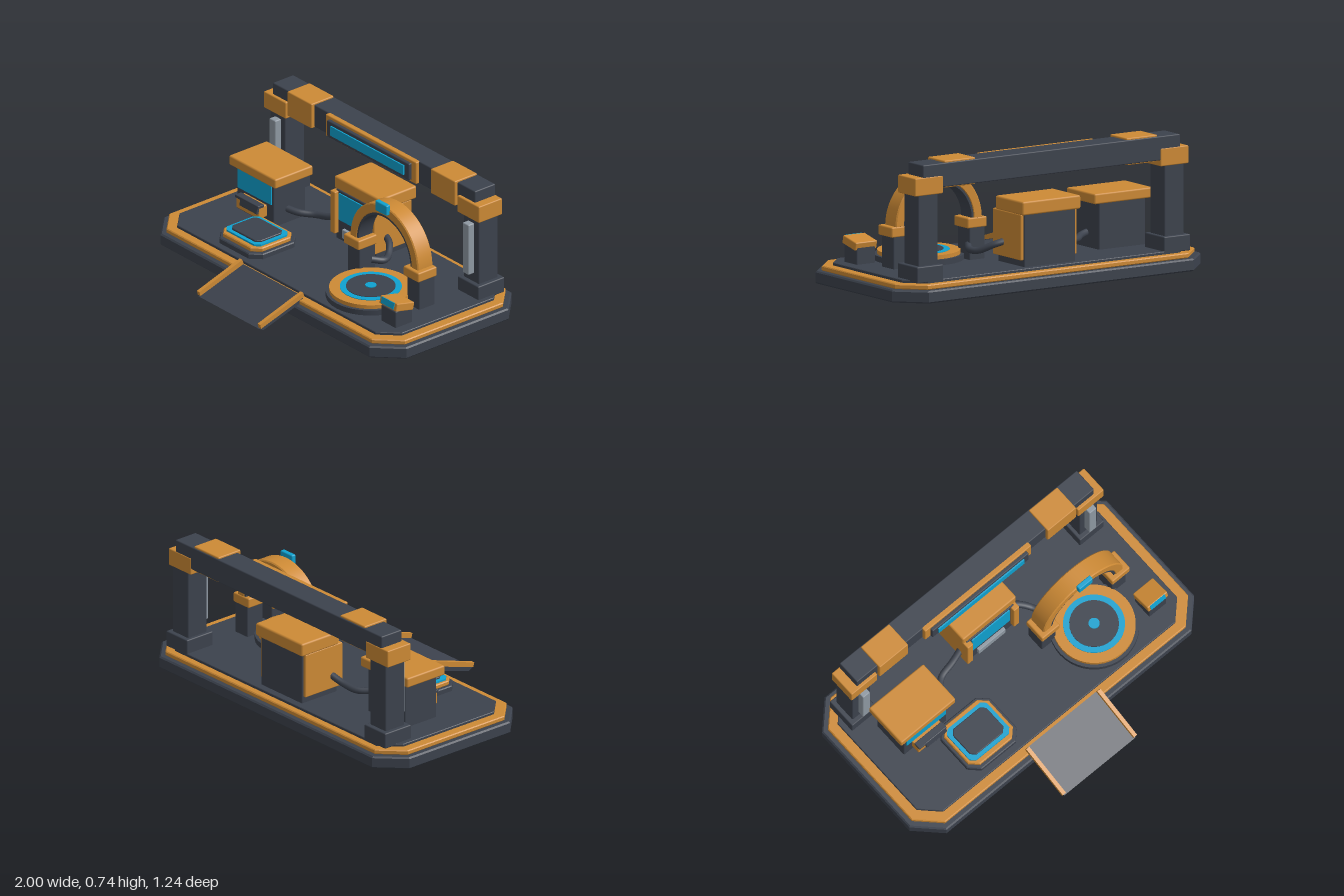
import * as THREE from 'three';
import { RoundedBoxGeometry } from 'three/addons/geometries/RoundedBoxGeometry.js';
import { toCreasedNormals } from 'three/addons/utils/BufferGeometryUtils.js';

const material = (name, color) => {
  const m = new THREE.MeshStandardMaterial({ color });
  m.name = name;
  return m;
};

export function createModel() {
  const dark = material('dark slate', 0x3c424d);
  const orange = material('amber', 0xcd8a35);
  const cyan = material('cyan glow', 0x0fa2d0);
  const silver = material('light steel', 0x8f99a3);
  const model = new THREE.Group();

  const add = (parent, name, geometry, mat) => {
    const mesh = new THREE.Mesh(geometry, mat);
    mesh.name = name;
    parent.add(mesh);
    return mesh;
  };
  const group = (name) => {
    const g = new THREE.Group();
    g.name = name;
    model.add(g);
    return g;
  };
  // Box given by its limits on each axis, with softened edges
  const box = (parent, name, mat, [x0, x1], [y0, y1], [z0, z1], r = 0.006) => {
    const w = x1 - x0, h = y1 - y0, d = z1 - z0;
    const g = r ? new RoundedBoxGeometry(w, h, d, 1, Math.min(r, w / 3, h / 3, d / 3)) : new THREE.BoxGeometry(w, h, d);
    const mesh = add(parent, name, g, mat);
    mesh.position.set((x0 + x1) / 2, (y0 + y1) / 2, (z0 + z1) / 2);
    return mesh;
  };
  // Rectangle with cut corners
  const octagon = (w, d, c) => {
    const x = w / 2, y = d / 2;
    return [[x, y - c], [x - c, y], [c - x, y], [-x, y - c], [-x, c - y], [c - x, -y], [x - c, -y], [x, c - y]]
      .map(([a, b]) => new THREE.Vector2(a, b));
  };
  // Flat slab lying between two heights, optionally with a hole
  const slab = (parent, name, mat, outline, y0, y1, x, z, bevel = 0.005, hole = null) => {
    const shape = new THREE.Shape(outline);
    if (hole) shape.holes.push(new THREE.Path(hole));
    const g = new THREE.ExtrudeGeometry(shape, {
      depth: y1 - y0 - 2 * bevel, bevelEnabled: bevel > 0, bevelThickness: bevel,
      bevelSize: bevel, bevelOffset: -bevel, bevelSegments: 1,
    });
    g.rotateX(-Math.PI / 2);
    add(parent, name, g, mat).position.set(x, y0 + bevel, z);
  };
  const disc = (parent, name, mat, r, y0, y1, x, z) => {
    const mesh = add(parent, name, new THREE.CylinderGeometry(r, r, y1 - y0, 40), mat);
    mesh.position.set(x, (y0 + y1) / 2, z);
  };

  // Platform
  const platform = group('platform');
  slab(platform, 'base', dark, octagon(2, 0.99, 0.14), 0, 0.068, 0, -0.125, 0.008);
  slab(platform, 'trim', orange, octagon(1.94, 0.93, 0.125), 0.068, 0.095, 0, -0.125, 0.005, octagon(1.8, 0.79, 0.09));
  slab(platform, 'deck', dark, octagon(1.83, 0.84, 0.1), 0.068, 0.11, 0, -0.13, 0.003);

  // Entry ramp: side profiles (z, y) extruded across x
  const ramp = group('ramp');
  const profileAcross = (name, mat, points, x0, x1) => {
    const g = new THREE.ExtrudeGeometry(new THREE.Shape(points.map(([z, y]) => new THREE.Vector2(-z, y))),
      { depth: x1 - x0, bevelEnabled: false });
    g.rotateY(Math.PI / 2);
    add(ramp, name, g, mat).position.x = x0;
  };
  profileAcross('rampSurface', dark, [[0.62, 0.016], [0.59, 0], [0.32, 0.08], [0.312, 0.108]], -0.25, 0.25);
  for (const s of [-1, 1])
    profileAcross('rampRail', orange, [[0.622, 0.045], [0.615, 0.02], [0.314, 0.113], [0.324, 0.14]], s * 0.25 - 0.011, s * 0.25 + 0.011);

  // Overhead gantry
  const gantry = group('gantry');
  for (const s of [-1, 1]) {
    const span = (a, b) => (s > 0 ? [a, b] : [-b, -a]);
    box(gantry, 'columnFoot', dark, span(0.715, 0.885), [0.1, 0.188], [-0.55, -0.367]);
    box(gantry, 'column', dark, span(0.735, 0.86), [0.15, 0.6], [-0.525, -0.392]);
    box(gantry, 'columnLight', silver, span(0.77, 0.82), [0.237, 0.535], [-0.4, -0.353]);
    box(gantry, 'columnCap', orange, span(0.705, 0.886), [0.567, 0.664], [-0.533, -0.37]);
    box(gantry, 'beamBand', orange, span(0.49, 0.69), [0.594, 0.74], [-0.524, -0.368]);
  }
  box(gantry, 'beam', dark, [-0.833, 0.833], [0.6, 0.73], [-0.53, -0.388]);
  box(gantry, 'signFrame', orange, [-0.373, 0.373], [0.6, 0.73], [-0.4, -0.366]);
  box(gantry, 'signPanel', dark, [-0.338, 0.338], [0.616, 0.714], [-0.37, -0.346]);
  box(gantry, 'signLight', cyan, [-0.3, 0.3], [0.638, 0.694], [-0.346, -0.338], 0);

  // Side kiosk
  const kiosk = group('kiosk');
  box(kiosk, 'kioskBody', dark, [-0.765, -0.465], [0.1, 0.37], [-0.305, -0.085]);
  box(kiosk, 'kioskRoof', orange, [-0.806, -0.423], [0.36, 0.416], [-0.324, -0.06], 0.009);
  box(kiosk, 'kioskScreen', cyan, [-0.752, -0.478], [0.24, 0.36], [-0.087, -0.077], 0);
  box(kiosk, 'kioskTray', orange, [-0.71, -0.522], [0.152, 0.222], [-0.09, -0.03]);
  box(kiosk, 'trayPanel', dark, [-0.665, -0.523], [0.185, 0.232], [-0.034, -0.018], 0.003).rotation.x = -0.25;
  box(kiosk, 'trayLip', dark, [-0.71, -0.52], [0.215, 0.232], [-0.065, -0.022], 0.003);

  // Central machine
  const machine = group('centralMachine');
  box(machine, 'machineBody', dark, [-0.167, 0.163], [0.1, 0.4], [-0.51, -0.265]);
  box(machine, 'machineRoof', orange, [-0.19, 0.187], [0.392, 0.466], [-0.53, -0.272], 0.01);
  for (const s of [-1, 1])
    box(machine, 'machineSide', orange, s > 0 ? [0.14, 0.18] : [-0.184, -0.144], [0.145, 0.393], [-0.5, -0.238]);
  box(machine, 'machineScreen', cyan, [-0.135, 0.128], [0.228, 0.385], [-0.267, -0.258], 0);
  box(machine, 'machineDrawer', silver, [-0.098, 0.09], [0.135, 0.188], [-0.28, -0.247], 0.004);

  // Square pad
  const squarePad = group('squarePad');
  slab(squarePad, 'padBase', dark, octagon(0.35, 0.325, 0.055), 0.105, 0.14, -0.392, 0.09);
  slab(squarePad, 'padRim', orange, octagon(0.315, 0.285, 0.045), 0.14, 0.166, -0.394, 0.09);
  slab(squarePad, 'padGlow', cyan, octagon(0.28, 0.232, 0.025), 0.164, 0.176, -0.396, 0.09, 0);
  slab(squarePad, 'padTop', dark, octagon(0.236, 0.188, 0.025), 0.17, 0.186, -0.396, 0.09, 0.003);

  // Round pad
  const roundPad = group('roundPad');
  [['roundBase', dark, 0.24, 0.105, 0.14], ['roundRim', orange, 0.222, 0.14, 0.162],
    ['roundGlow', cyan, 0.165, 0.16, 0.165], ['roundTop', dark, 0.132, 0.162, 0.168],
    ['roundCentre', cyan, 0.03, 0.164, 0.173]]
    .forEach(([n, m, r, a, b]) => disc(roundPad, n, m, r, a, b, 0.47, 0.03));

  // Arch standing over the back of the round pad
  const arch = group('arch');
  const halfRing = (name, mat, outer, inner, z0, z1, bevel) => {
    const shape = new THREE.Shape();
    shape.absarc(0, 0, outer, 0, Math.PI, false);
    shape.absarc(0, 0, inner, Math.PI, 0, true);
    const g = new THREE.ExtrudeGeometry(shape, {
      depth: z1 - z0 - 2 * bevel, curveSegments: 32, bevelEnabled: bevel > 0,
      bevelThickness: bevel, bevelSize: bevel, bevelOffset: -bevel, bevelSegments: 1,
    });
    add(arch, name, toCreasedNormals(g, 0.5), mat).position.set(0.473, 0.33, z0 + bevel);
  };
  halfRing('archRing', orange, 0.28, 0.224, -0.164, -0.058, 0.006);
  halfRing('archLiner', dark, 0.23, 0.214, -0.16, -0.062, 0);
  for (const s of [-1, 1]) {
    const x = 0.473 + s * 0.246;
    box(arch, 'archLeg', dark, [x - 0.05, x + 0.05], [0.1, 0.29], [-0.165, -0.055]);
    box(arch, 'archClamp', orange, [x - 0.063, x + 0.063], [0.28, 0.336], [-0.168, -0.037], 0.008);
  }
  box(arch, 'archLamp', cyan, [0.425, 0.521], [0.577, 0.636], [-0.064, -0.036], 0.006);

  // Small tilted control post
  const post = group('controlPost');
  box(post, 'postBody', dark, [0.73, 0.85], [0.1, 0.205], [0.06, 0.178]);
  const head = new THREE.Group();
  head.name = 'postHead';
  head.position.set(0.79, 0.22, 0.119);
  head.rotation.x = -0.22;
  post.add(head);
  box(head, 'postTop', orange, [-0.07, 0.07], [-0.023, 0.023], [-0.062, 0.062]);
  box(head, 'postLight', cyan, [-0.053, 0.05], [-0.015, 0.021], [0.058, 0.066], 0);

  // Connecting hoses
  const hoses = group('hoses');
  const hose = (points) => {
    const curve = new THREE.CatmullRomCurve3(points.map((p) => new THREE.Vector3(...p)));
    add(hoses, 'hose', new THREE.TubeGeometry(curve, 24, 0.019, 10), dark);
  };
  hose([[-0.48, 0.19, -0.18], [-0.41, 0.18, -0.21], [-0.34, 0.175, -0.27], [-0.25, 0.19, -0.29], [-0.15, 0.23, -0.315]]);
  hose([[0.15, 0.23, -0.335], [0.22, 0.21, -0.31], [0.28, 0.175, -0.25], [0.3, 0.175, -0.2], [0.27, 0.19, -0.14]]);

  return model;
}
